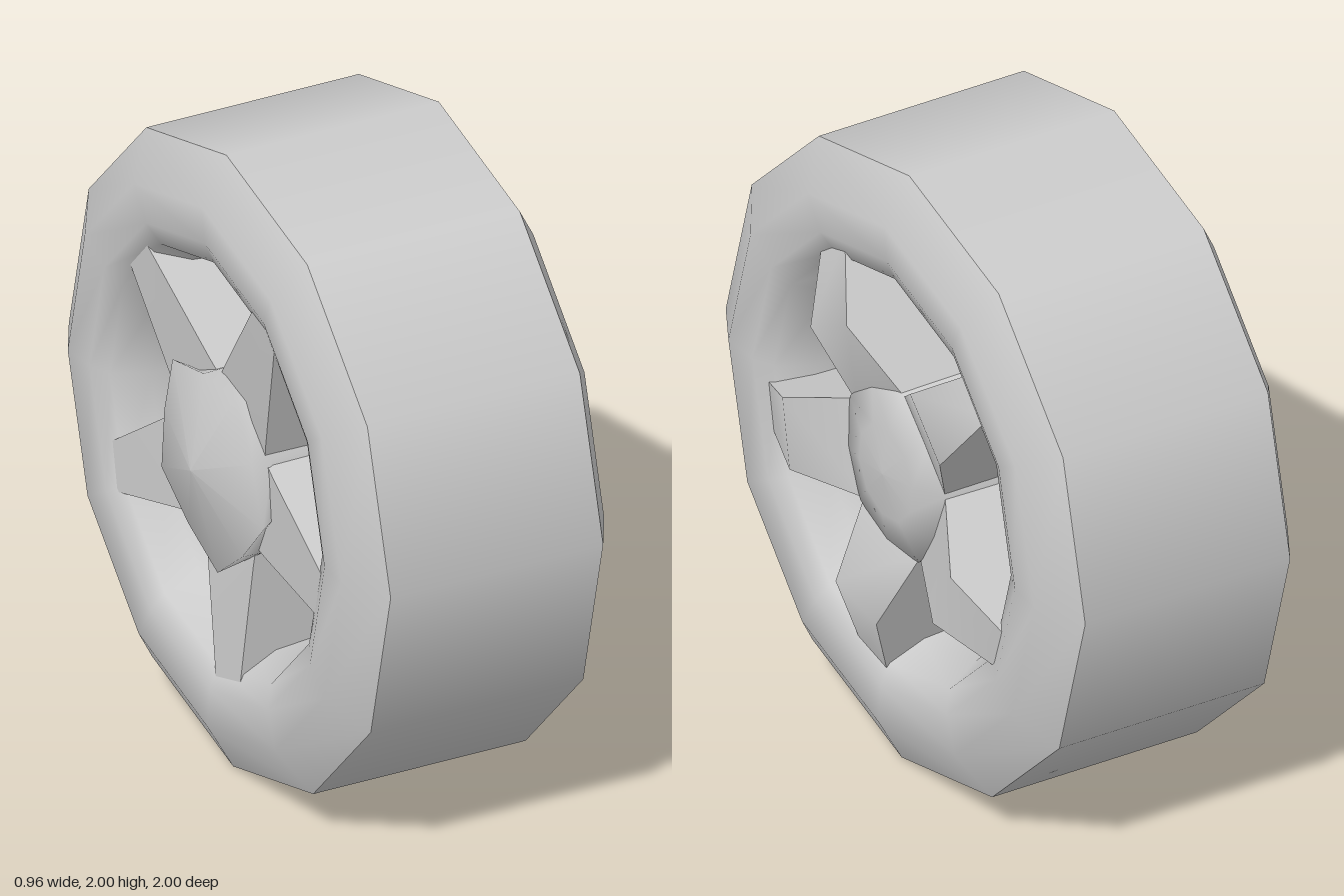
import * as THREE from 'three';
import { toCreasedNormals } from 'three/addons/utils/BufferGeometryUtils.js';

const material = new THREE.MeshStandardMaterial({ color: 0xcccccc });
const rad = THREE.MathUtils.degToRad;
const SPOKE_ANGLE = 8; // degrees from straight down, towards +z

// Revolve [radius, x] points round the x axis, with a corner at the given angle from straight down
function revolve(points, sides, angle) {
  const geometry = new THREE.LatheGeometry(
    points.map(([r, x]) => new THREE.Vector2(r, x)), sides, rad(90 - angle));
  return geometry.rotateZ(-Math.PI / 2);
}

function addMesh(parent, name, geometry) {
  const mesh = new THREE.Mesh(geometry, material);
  mesh.name = name;
  parent.add(mesh);
}

function addGroup(parent, name) {
  const group = new THREE.Group();
  group.name = name;
  parent.add(group);
  return group;
}

export function createModel() {
  const model = new THREE.Group();
  const wheel = addGroup(model, 'wheel');
  wheel.position.y = 1;

  // Twelve-sided tyre: flat tread, then smooth sidewalls running through the bore
  const tyre = addGroup(wheel, 'tyre');
  const sidewall = [[1, 0.35], [0.85, 0.433], [0.73, 0.425], [0.66, 0.395], [0.605, 0.29], [0.595, 0.18]];
  const inside = [...sidewall, ...sidewall.map(([r, x]) => [r, -x]).reverse()];
  addMesh(tyre, 'tread', revolve([[1, -0.35], [1, 0.35]], 12, 1.2));
  addMesh(tyre, 'sidewalls', revolve(inside, 12, 1.2));

  // Ten-sided hub: domed front, column, and a five-cornered cap at the back
  const hubProfile = [
    [0, -0.48], [0.335, -0.415], [0.29, -0.35], [0.28, 0.385], [0.15, 0.418], [0, 0.43],
  ];
  const hub = revolve(hubProfile, 10, SPOKE_ANGLE);
  const hp = hub.attributes.position;
  for (let i = 0; i < hp.count; i++) {
    const segment = Math.floor(i / hubProfile.length);
    if (i % hubProfile.length === 1 && segment % 2 === 1) {
      hp.setXYZ(i, hp.getX(i), hp.getY(i) * 0.86, hp.getZ(i) * 0.86);
    }
  }
  addMesh(wheel, 'hub', hub);

  // Five deep spokes: peaked front edge, width tapering outwards, tips sunk in the tyre
  const side = new THREE.Shape([
    [0.2, -0.36], [0.28, -0.37], [0.71, -0.41], [0.71, 0.39], [0.46, 0.48], [0.2, 0.37],
  ].map(([r, x]) => new THREE.Vector2(r, x)));
  const spoke = new THREE.ExtrudeGeometry(side, { depth: 2, bevelEnabled: false });
  spoke.translate(0, 0, -1);
  const sp = spoke.attributes.position;
  for (let i = 0; i < sp.count; i++) {
    const halfWidth = 0.152 - (sp.getX(i) - 0.25) * 0.18;
    sp.setZ(i, sp.getZ(i) * halfWidth);
  }
  const smoothSpoke = toCreasedNormals(spoke, rad(50));
  const spokes = addGroup(wheel, 'spokes');
  const axle = new THREE.Vector3(1, 0, 0);
  for (let k = 0; k < 5; k++) {
    const a = rad(SPOKE_ANGLE + 72 * k);
    const out = new THREE.Vector3(0, -Math.cos(a), Math.sin(a));
    const across = new THREE.Vector3().crossVectors(out, axle);
    const turn = new THREE.Matrix4().makeBasis(out, axle, across);
    addMesh(spokes, 'spoke', smoothSpoke.clone().applyMatrix4(turn));
  }

  return model;
}
